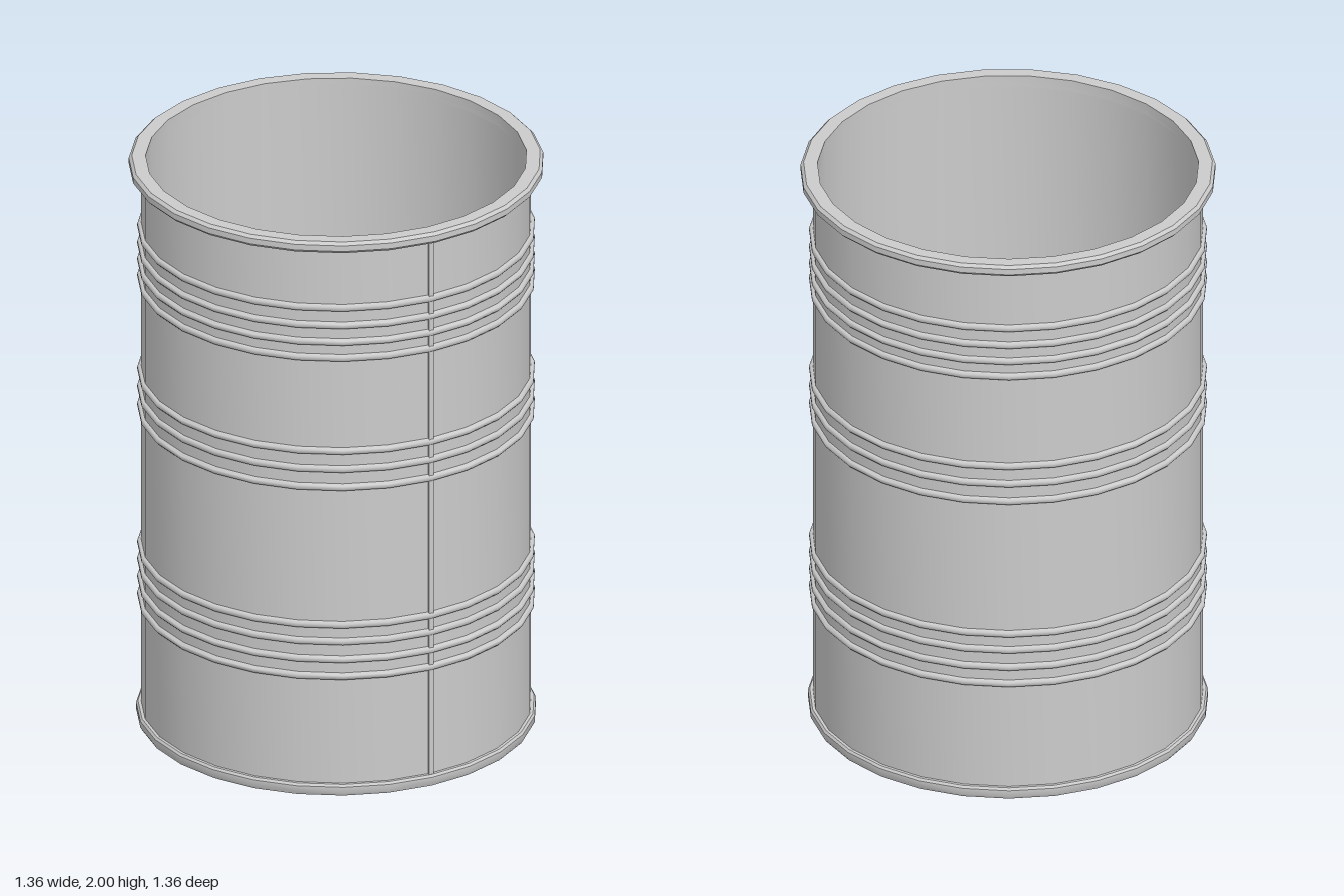
import * as THREE from 'three';
import { toCreasedNormals } from 'three/addons/utils/BufferGeometryUtils.js';

const SIDES = 27;
const RADIUS = 0.64;
const INNER = 0.625;
const material = new THREE.MeshStandardMaterial({ color: 0xcccccc });

// Revolves an [r, y] profile, smooth around the drum and sharp at its corners
function turned(name, points, crease = 0.6) {
  const profile = points.map(([r, y]) => new THREE.Vector2(r, y));
  const lathe = new THREE.LatheGeometry(profile, SIDES, Math.PI, Math.PI * 2);
  const mesh = new THREE.Mesh(toCreasedNormals(lathe, crease), material);
  mesh.name = name;
  return mesh;
}

export function createModel() {
  const drum = new THREE.Group();
  drum.name = 'openDrum';

  // Thin-walled shell with its floor
  drum.add(turned('shell', [
    [0, 0], [RADIUS, 0], [RADIUS, 1.98], [INNER, 1.98], [INNER, 0.02], [0, 0.02],
  ]));

  // Wide rolled lip around the opening
  drum.add(turned('topRim', [
    [INNER, 1.96], [0.67, 1.96], [0.68, 1.97], [0.68, 1.99], [0.67, 2], [INNER, 2], [INNER, 1.96],
  ]));

  // Smaller rolled edge around the base
  drum.add(turned('bottomRim', [
    [0.6, 0], [0.65, 0], [0.656, 0.01], [0.656, 0.032], [0.65, 0.04], [0.635, 0.04],
  ]));

  // Three groups of reinforcing beads
  const bands = {
    upperBeads: [1.75, 1.687, 1.627, 1.57],
    middleBeads: [1.235, 1.17, 1.105],
    lowerBeads: [0.61, 0.55, 0.486, 0.425],
  };
  for (const [name, heights] of Object.entries(bands)) {
    const band = new THREE.Group();
    band.name = name;
    for (const y of heights) {
      band.add(turned('bead', [
        [0.635, y - 0.012], [0.647, y - 0.011], [0.652, y - 0.005],
        [0.652, y + 0.005], [0.647, y + 0.011], [0.635, y + 0.012],
      ], 1));
    }
    drum.add(band);
  }

  // Vertical weld seam on the front left
  const angle = THREE.MathUtils.degToRad(20);
  const seam = new THREE.Mesh(new THREE.BoxGeometry(0.016, 1.95, 0.016), material);
  seam.name = 'weldSeam';
  seam.position.set(RADIUS * Math.sin(angle), 0.985, RADIUS * Math.cos(angle));
  seam.rotation.y = angle;
  drum.add(seam);

  return drum;
}
